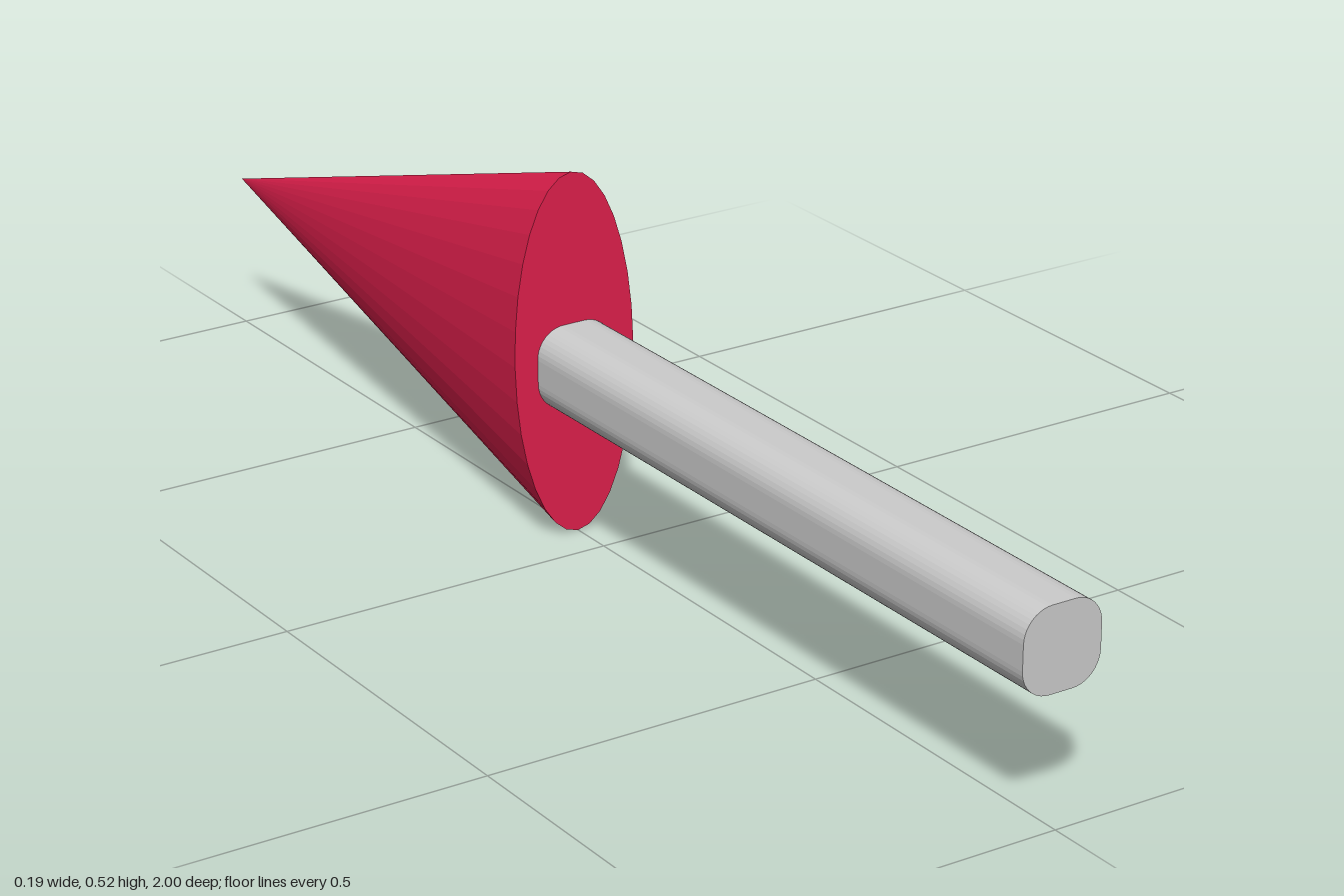
import * as THREE from 'three';

export function createModel() {
  const group = new THREE.Group();

  // Shaft: rounded-square bar running front to back
  const h = 0.0595, r = 0.042;
  const s = new THREE.Shape();
  s.moveTo(-h + r, -h);
  s.lineTo(h - r, -h);
  s.absarc(h - r, -h + r, r, -Math.PI / 2, 0);
  s.absarc(h - r, h - r, r, 0, Math.PI / 2);
  s.absarc(-h + r, h - r, r, Math.PI / 2, Math.PI);
  s.absarc(-h + r, -h + r, r, Math.PI, Math.PI * 1.5);
  const shaft = new THREE.Mesh(
    new THREE.ExtrudeGeometry(s, { depth: 1.09, bevelEnabled: false, curveSegments: 5 }),
    new THREE.MeshStandardMaterial({ color: 0xcccccc, flatShading: true })
  );
  shaft.name = 'shaft';
  shaft.position.set(0, 0.246, -0.09);
  group.add(shaft);

  // Head: flattened cone, tip to the back and tilted slightly down
  const length = 0.928;
  const cone = new THREE.ConeGeometry(1, length, 32);
  cone.rotateX(-Math.PI / 2);
  cone.scale(0.096, 0.261, 1);
  cone.translate(0, 0, -length / 2);
  const head = new THREE.Mesh(
    cone,
    new THREE.MeshStandardMaterial({ color: 0xdc1f4b, flatShading: true })
  );
  head.name = 'arrowHead';
  head.position.set(0, 0.261, -0.0725);
  head.rotation.x = -0.031;
  group.add(head);

  return group;
}
